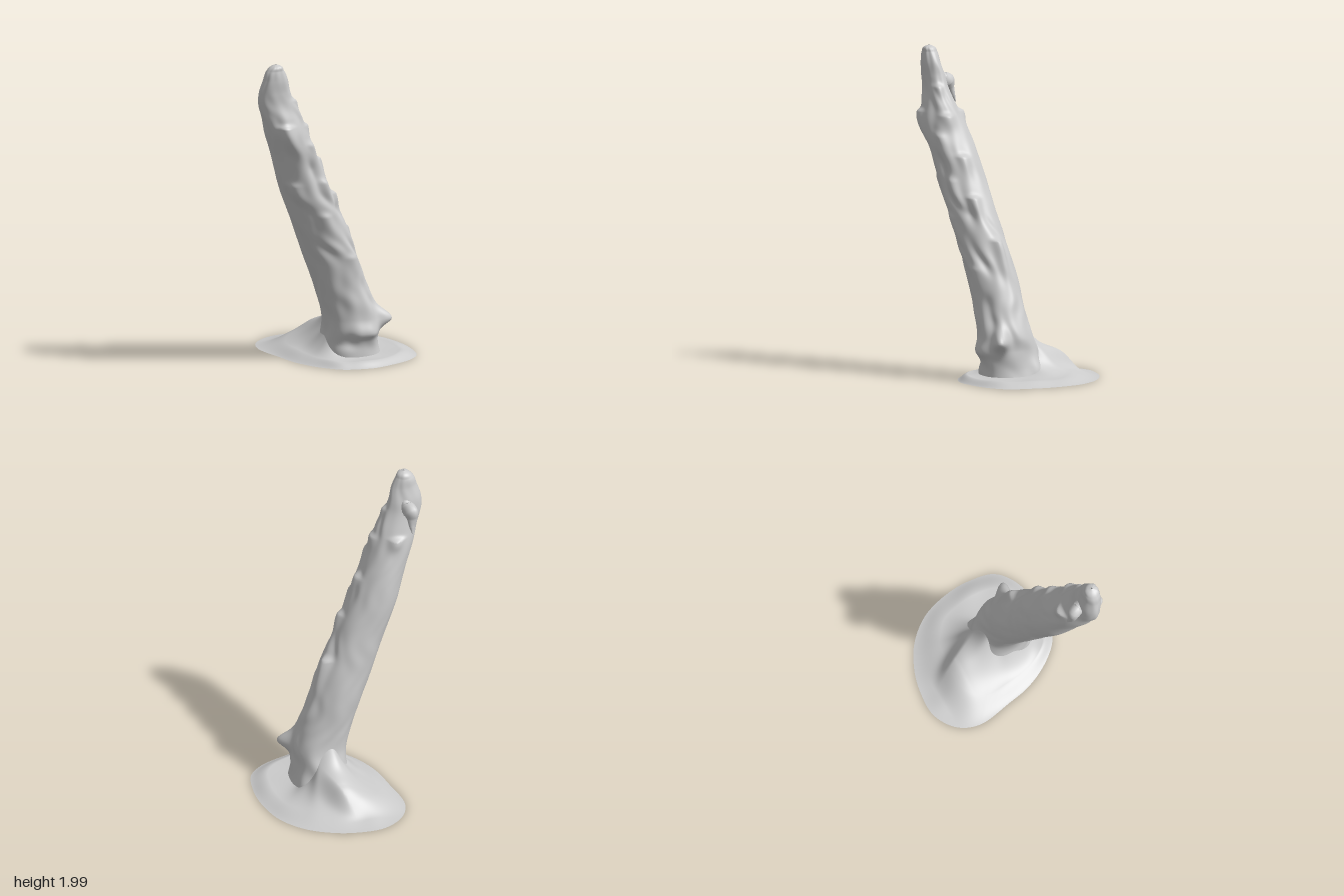
import * as THREE from 'three';
import { ParametricGeometry } from 'three/addons/geometries/ParametricGeometry.js';

const material = new THREE.MeshStandardMaterial({ color: 0xcccccc, roughness: 0.9, side: THREE.DoubleSide });

// Trunk sections: height, x min, x max, z min, z max
const SECTIONS = [
  [0.02, -0.01, 0.35, -0.08, 0.30],
  [0.10, -0.01, 0.33, -0.07, 0.30],
  [0.20, 0.00, 0.32, -0.05, 0.32],
  [0.28, -0.01, 0.32, -0.02, 0.31],
  [0.40, -0.05, 0.28, 0.00, 0.31],
  [0.60, -0.13, 0.20, 0.02, 0.325],
  [0.80, -0.215, 0.12, 0.055, 0.35],
  [1.00, -0.30, 0.02, 0.09, 0.38],
  [1.20, -0.385, -0.08, 0.12, 0.41],
  [1.40, -0.45, -0.175, 0.165, 0.44],
  [1.55, -0.51, -0.25, 0.21, 0.465],
  [1.65, -0.54, -0.29, 0.25, 0.45],
  [1.75, -0.57, -0.34, 0.285, 0.43],
  [1.82, -0.57, -0.365, 0.30, 0.43],
  [1.90, -0.55, -0.39, 0.325, 0.435],
  [1.96, -0.53, -0.42, 0.34, 0.43],
  [1.99, -0.50, -0.44, 0.36, 0.42],
  [2.00, -0.475, -0.465, 0.385, 0.395],
];
const profile = new THREE.CubicInterpolant(SECTIONS.map((s) => s[0]), SECTIONS.flatMap((s) => s.slice(1)), 4);

// Knots, torn bark and hollows: angle in degrees (0 left, -90 front), height, depth,
// width in degrees, reach below, reach above
const BUMPS = [
  [-28, 0.26, 0.085, 13, 0.05, 0.07],
  [-75, 0.19, 0.02, 30, 0.03, 0.06],
  [-125, 0.13, -0.02, 25, 0.04, 0.05],
  [38, 0.08, 0.02, 14, 0.08, 0.08],
  [16, 0.85, 0.035, 12, 0.2, 0.02],
  [-8, 1.1, 0.03, 13, 0.1, 0.02],
  [0, 1.34, 0.03, 15, 0.08, 0.02],
  [-5, 1.58, 0.025, 18, 0.07, 0.02],
  [-15, 1.75, 0.02, 22, 0.05, 0.02],
  [-105, 1.6, 0.025, 20, 0.18, 0.02],
  [-135, 1.2, 0.015, 18, 0.12, 0.03],
  [80, 1.6, 0.03, 18, 0.06, 0.015],
  [-60, 0.68, 0.015, 14, 0.12, 0.03],
  [-85, 0.98, 0.015, 14, 0.14, 0.03],
  [-50, 1.2, 0.018, 14, 0.1, 0.03],
  [-45, 1.46, 0.018, 15, 0.08, 0.03],
  [-30, 1.0, -0.018, 15, 0.08, 0.05],
  [-70, 1.3, -0.018, 15, 0.1, 0.06],
  [-50, 0.48, -0.015, 18, 0.07, 0.07],
];

const lerp = THREE.MathUtils.lerp;
const smooth = THREE.MathUtils.smoothstep;

// Bell curve around a direction, both in degrees
function bell(deg, centre, width) {
  const d = THREE.MathUtils.euclideanModulo(deg - centre + 180, 360) - 180;
  return Math.exp(-((d / width) ** 2));
}

function sectionAt(y) {
  const [x0, x1, z0, z1] = profile.evaluate(y);
  return { x: (x0 + x1) / 2, z: (z0 + z1) / 2, a: (x1 - x0) / 2, b: (z1 - z0) / 2 };
}

// Uneven folds, rougher on the front and left than on the back
function bark(angle, y) {
  const rough = 0.3 + 0.7 * (0.5 + 0.5 * Math.cos(angle + 0.9));
  const w = angle + 0.25 * Math.sin(7 * y) + 0.12 * Math.sin(19 * y + 2 * Math.sin(angle));
  const n = 0.4 * Math.sin(5 * w + 3 * y)
    + 0.4 * Math.sin(9 * w - 5 * y) * Math.sin(8 * y + 2 * Math.sin(angle))
    + 0.35 * Math.sin(3 * w + 17 * y)
    + 0.3 * Math.sin(7 * w + 27 * y) * Math.sin(2 * w - 9 * y);
  return 0.055 * rough * n * smooth(y, 0.02, 0.2);
}

function trunkPoint(angle, y, target) {
  const s = sectionAt(y);
  const c = Math.cos(angle), n = Math.sin(angle);
  // Squarish at the base, rounder higher up
  const p = lerp(2.5, 2, smooth(y, 0.1, 0.6));
  const r = (1 + bark(angle, y)) / (Math.abs(c) ** p + Math.abs(n) ** p) ** (1 / p);
  let bump = 0;
  for (const [deg, height, depth, width, below, above] of BUMPS) {
    bump += depth * bell(angle * THREE.MathUtils.RAD2DEG, deg, width)
      * Math.exp(-(((y - height) / (y < height ? below : above)) ** 2));
  }
  return target.set(s.x + (s.a * r + bump) * c, y, s.z - (s.b * r + bump) * n);
}

// Height at which the foot runs into the trunk: high at the back, low at the front
function joinHeight(angle) {
  const deg = angle * THREE.MathUtils.RAD2DEG;
  return 0.045 + 0.27 * bell(deg, 97, 42) + 0.1 * bell(deg, 175, 35);
}

// Spread foot: outer rim on the ground, as x, z
const RIM = new THREE.CatmullRomCurve3([
  [-0.26, -0.28], [-0.2, -0.41], [-0.06, -0.49], [0.12, -0.48], [0.25, -0.44], [0.4, -0.35],
  [0.52, -0.2], [0.575, 0], [0.575, 0.15], [0.54, 0.29], [0.45, 0.37], [0.3, 0.42], [0.18, 0.44],
  [0.05, 0.41], [-0.03, 0.37], [-0.13, 0.25], [-0.2, 0.1], [-0.23, -0.05],
].map(([x, z]) => new THREE.Vector3(x, 0, z)), true);

// Root running back from the trunk: steep on its left, a long slope on its right
function rootHeight(x, z) {
  const d = x - (0.1 + 0.4 * (z + 0.3));
  const crest = 0.085 * (1 - smooth(-z, 0.22, 0.4)) * smooth(-z, -0.05, 0.2);
  return crest * Math.exp(-((d / (d > 0 ? 0.06 : 0.16)) ** 2));
}

function footPoint(u, v, target) {
  const rim = RIM.getPoint((1 - u) % 1);
  const s = sectionAt(0.1);
  const angle = Math.atan2(-(rim.z - s.z) / s.b, (rim.x - s.x) / s.a);
  const join = joinHeight(angle);
  trunkPoint(angle, join, target);
  const x = lerp(rim.x, target.x, v);
  const z = lerp(rim.z, target.z, v);
  const ripple = 0.004 * Math.sin(16 * x + 9 * z + 2 * Math.sin(9 * x)) + 0.003 * Math.sin(25 * z - 14 * x);
  const sheet = (0.035 + ripple * (1 - v)) * smooth(v, -0.1, 0.45);
  return target.set(x, 0.004 + sheet + (join - 0.039) * v ** 2.7 + rootHeight(x, z) * (1 - v ** 4), z);
}

function addSurface(group, name, fn, slices, stacks) {
  const mesh = new THREE.Mesh(new ParametricGeometry(fn, slices, stacks), material);
  mesh.name = name;
  group.add(mesh);
}

// Broken splinter hooking down behind the tip; each station is x, y, z, radius
const HOOK = [
  [-0.46, 1.84, 0.36, 0.03], [-0.465, 1.785, 0.31, 0.045], [-0.475, 1.77, 0.265, 0.045],
  [-0.48, 1.73, 0.25, 0.03], [-0.475, 1.68, 0.235, 0.018], [-0.47, 1.64, 0.215, 0.001]];
const hookPath = new THREE.CatmullRomCurve3(HOOK.map(([x, y, z]) => new THREE.Vector3(x, y, z)));

function hookPoint(u, v, target) {
  const last = HOOK.length - 1;
  const i = Math.min(Math.floor(v * last), last - 1);
  const r = lerp(HOOK[i][3], HOOK[i + 1][3], v * last - i);
  const tangent = hookPath.getTangent(v);
  const side = new THREE.Vector3(1, 0, 0).cross(tangent).normalize();
  const up = new THREE.Vector3().crossVectors(tangent, side);
  const a = u * Math.PI * 2;
  const k = r * (1 + 0.1 * Math.sin(2 * a + 7 * v));
  target.copy(hookPath.getPoint(v)).addScaledVector(side, k * Math.cos(a)).addScaledVector(up, k * Math.sin(a));
}

export function createModel() {
  const group = new THREE.Group();
  group.name = 'leaningStump';

  // Hollow trunk growing out of the foot; rings bunch up toward the tip
  addSurface(group, 'trunk', (u, v, target) => {
    const angle = u * Math.PI * 2;
    trunkPoint(angle, lerp(joinHeight(angle) - 0.004, 2, 1 - (1 - v) ** 1.25), target);
  }, 112, 220);
  addSurface(group, 'foot', footPoint, 160, 40);
  addSurface(group, 'hookedSplinter', hookPoint, 16, 30);
  return group;
}
